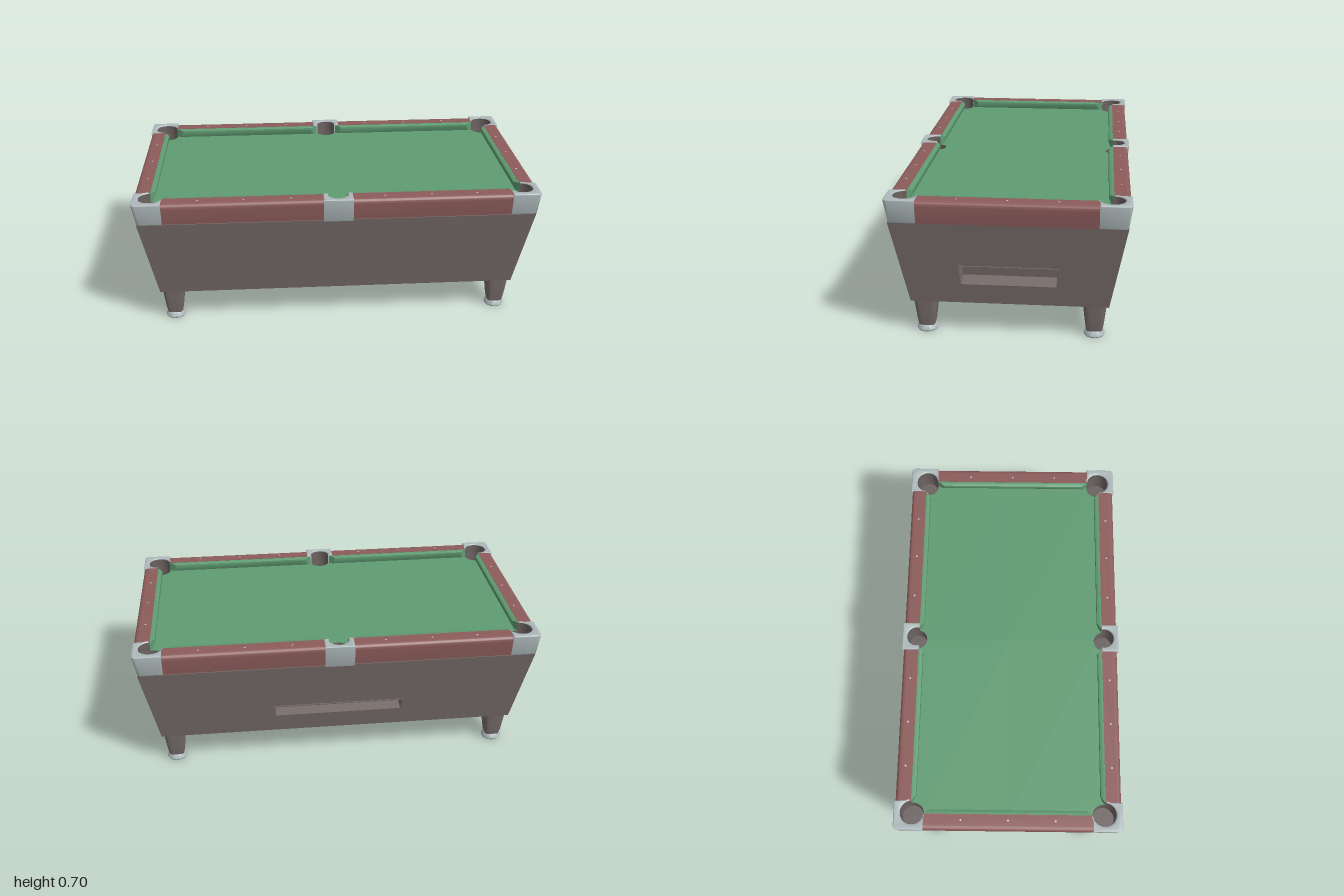
import * as THREE from 'three';
import { toCreasedNormals } from 'three/addons/utils/BufferGeometryUtils.js';

const paint = (color) => new THREE.MeshStandardMaterial({ color });
const cabinetMat = paint(0x756b69), railMat = paint(0x8c5c5b), clothMat = paint(0x5f9b72);
const metalMat = paint(0xaeb9bb), markMat = paint(0xeeeeee);
const linerMat = paint(0x6b6260);
linerMat.side = THREE.DoubleSide;

// Main sizes
const Y0 = 0.17, Y1 = 0.59, FLARE = 0.075;
const CLOTH_Y = 0.655, IN_X = 0.92, IN_Z = 0.473;
const CORNER = { x: 0.915, z: 0.468, r: 0.057, a: -1.483, b: 3.054 };
const SIDE = { z: 0.485, r: 0.05, a: -0.242, b: Math.PI + 0.242 };

function add(parent, name, geometry, material) {
  const mesh = new THREE.Mesh(geometry, material);
  mesh.name = name;
  parent.add(mesh);
  return mesh;
}

const polygon = (pts) => new THREE.Shape(pts.map(([x, y]) => new THREE.Vector2(x, y)));

// Slab cut from a plan shape (x, z), mirrored by sx and sz, hanging below the given height
function planSlab(shape, sx, sz, top, height, bevel = 0) {
  const outline = new THREE.Shape(shape.getPoints(24).map((p) => new THREE.Vector2(p.x * sx, p.y * sz)));
  const geo = new THREE.ExtrudeGeometry(outline, {
    depth: height - 2 * bevel, bevelEnabled: bevel > 0,
    bevelThickness: bevel, bevelSize: bevel, bevelOffset: -bevel, bevelSegments: 3,
  });
  return geo.rotateX(Math.PI / 2).translate(0, top - bevel, 0);
}

// Bar with a (outward, y) profile running along x
function bar(shape, length) {
  const geo = new THREE.ExtrudeGeometry(shape, { depth: length, bevelEnabled: false, curveSegments: 8 });
  return geo.translate(0, 0, -length / 2).rotateY(-Math.PI / 2);
}

// Move each vertex by a rule, then rebuild the normals
function reshape(geo, rule, crease = 0.6) {
  const p = geo.attributes.position, v = new THREE.Vector3();
  for (let i = 0; i < p.count; i++) {
    rule(v.fromBufferAttribute(p, i));
    p.setXYZ(i, v.x, v.y, v.z);
  }
  geo.computeVertexNormals();
  return toCreasedNormals(geo, crease);
}

// Sloping cabinet wall, with an optional ball return slot
function addPanel(parent, half, dist, slot) {
  const tilt = Math.atan2(FLARE, Y1 - Y0), slope = Math.hypot(FLARE, Y1 - Y0);
  const wall = new THREE.Group();
  wall.name = 'cabinetWall';
  wall.position.set(0, Y0, dist);
  wall.rotation.x = tilt;
  parent.add(wall);
  const shape = polygon([[-half, 0], [half, 0], [half + FLARE, slope], [-half - FLARE, slope]]);
  if (slot) {
    const v0 = (slot.y0 - Y0) / Math.cos(tilt), v1 = (slot.y1 - Y0) / Math.cos(tilt), w = slot.half;
    const opening = (g) => [[-w - g, v0 - g], [w + g, v0 - g], [w + g + 0.008, v1 + g], [-w - g - 0.008, v1 + g]];
    shape.holes.push(polygon(opening(0)));
    const rim = polygon(opening(0.004));
    rim.holes.push(polygon(opening(-0.001)));
    const tray = new THREE.ExtrudeGeometry(rim, { depth: 0.085, bevelEnabled: false });
    add(wall, 'returnTray', tray.translate(0, 0, -0.08), cabinetMat);
    const back = new THREE.BoxGeometry(2 * w + 0.03, v1 - v0 + 0.02, 0.01);
    add(wall, 'returnTrayBack', back.translate(0, (v0 + v1) / 2, -0.08), cabinetMat);
  }
  const geo = new THREE.ExtrudeGeometry(shape, { depth: 0.015, bevelEnabled: false });
  add(wall, 'wallPanel', geo.translate(0, 0, -0.015), cabinetMat);
}

// Wooden rail with a rounded outer top edge
function addRail(parent, inner, length, x) {
  const s = new THREE.Shape();
  s.moveTo(inner, Y1);
  s.lineTo(inner + 0.064, Y1);
  s.lineTo(inner + 0.077, 0.675);
  s.quadraticCurveTo(inner + 0.078, 0.7, inner + 0.055, 0.7);
  s.lineTo(inner, 0.7);
  add(parent, 'rail', toCreasedNormals(bar(s, length), 0.6), railMat).position.x = x;
}

// Undercut cushion whose ends are cut at an angle toward the pockets
function addCushion(parent, inner, length, x) {
  const s = polygon([[0, CLOTH_Y - 0.005], [-0.01, CLOTH_Y - 0.005], [-0.024, 0.682],
    [-0.022, 0.694], [-0.012, 0.699], [0, 0.699]]);
  const geo = reshape(bar(s, length), (v) => { v.x += Math.sign(v.x) * v.z * 1.4; });
  add(parent, 'cushion', geo, clothMat).position.set(x, 0, inner);
}

function addMark(parent, x, z) {
  add(parent, 'sightMark', new THREE.CylinderGeometry(0.005, 0.005, 0.004, 8), markMat).position.set(x, 0.699, z);
}

// Pocket: tapered cup below the cloth and a liner around the outer side
function addPocket(parent, x, z, r, dirX, dirZ, span) {
  const pocket = new THREE.Group();
  pocket.name = 'pocket';
  pocket.position.set(x, 0, z);
  parent.add(pocket);
  const low = 0.592, cup = new THREE.CylinderGeometry(r, r - 0.004, CLOTH_Y - low, 32, 1, true);
  add(pocket, 'pocketCup', cup.translate(0, (CLOTH_Y + low) / 2, 0), linerMat);
  const liner = new THREE.CylinderGeometry(r - 0.001, r - 0.001, 0.045, 32, 1, true,
    Math.atan2(dirX, dirZ) - span / 2, span);
  add(pocket, 'pocketLiner', liner.translate(0, CLOTH_Y + 0.0225, 0), linerMat);
  const floor = new THREE.CircleGeometry(r - 0.004, 32).rotateX(-Math.PI / 2);
  add(pocket, 'pocketFloor', floor.translate(0, low, 0), linerMat);
}

// Rounded square leg, tapering down to a metal foot
function addLeg(parent, x, z) {
  const leg = new THREE.Group();
  leg.name = 'leg';
  leg.position.set(x, 0, z);
  parent.add(leg);
  const post = new THREE.CylinderGeometry(1, 1, 0.145, 40, 6).translate(0, 0.1025, 0);
  add(leg, 'legPost', reshape(post, (v) => {
    const t = Math.max(0, (v.y - 0.03) / 0.145), n = 5;
    const q = Math.pow(Math.abs(v.x) ** n + Math.abs(v.z) ** n, 1 / n);
    const k = q > 0 ? (0.038 + 0.019 * t ** 0.8) / q : 0;
    v.x *= k;
    v.z *= k;
  }), cabinetMat);
  const profile = [[0, 0], [0.047, 0], [0.05, 0.006], [0.046, 0.02], [0.036, 0.032], [0, 0.034]];
  const foot = new THREE.LatheGeometry(profile.map(([a, b]) => new THREE.Vector2(a, b)), 32);
  add(leg, 'foot', toCreasedNormals(foot, 0.7), metalMat);
}

// Plan outlines for one quarter of the table
function clothQuarter() {
  const s = new THREE.Shape();
  s.moveTo(0, 0);
  s.lineTo(IN_X, 0);
  s.absarc(CORNER.x, CORNER.z, CORNER.r, CORNER.a, CORNER.b - 2 * Math.PI, true);
  s.absarc(0, SIDE.z, SIDE.r, SIDE.a, -Math.PI / 2, true);
  return s;
}

function cornerCapPlan() {
  const s = new THREE.Shape();
  s.moveTo(0.858, 0.556);
  s.lineTo(0.976, 0.556);
  s.quadraticCurveTo(1, 0.556, 1, 0.532);
  s.lineTo(1, 0.411);
  s.absarc(CORNER.x, CORNER.z, CORNER.r, CORNER.a, CORNER.b, false);
  return s;
}

function sideCapPlan() {
  const s = new THREE.Shape();
  s.moveTo(-0.073, 0.558);
  s.lineTo(-0.073, IN_Z);
  s.absarc(0, SIDE.z, SIDE.r, SIDE.b, SIDE.a, true);
  s.lineTo(0.073, IN_Z);
  s.lineTo(0.073, 0.558);
  return s;
}

// Lean the outer faces of a cap inward toward the bottom
function lean(v) {
  const d = (v.y - 0.7) * 0.14;
  if (Math.abs(v.x) > 0.974) v.x += Math.sign(v.x) * d;
  if (Math.abs(v.z) > 0.537) v.z += Math.sign(v.z) * d;
}

export function createModel() {
  const table = new THREE.Group();
  table.name = 'poolTable';

  // Walls, rails and cushions, turned to the four sides
  for (let k = 0; k < 4; k++) {
    const side = new THREE.Group();
    side.name = ['frontSide', 'leftSide', 'backSide', 'rightSide'][k];
    side.rotation.y = (k * Math.PI) / 2;
    table.add(side);
    if (k % 2 === 0) {
      addPanel(side, 0.907, 0.466, k === 2 && { half: 0.32, y0: 0.275, y1: 0.335 });
      for (const s of [-1, 1]) {
        addRail(side, IN_Z, 0.793, s * 0.4635);
        addCushion(side, IN_Z, 0.806, s * 0.456);
        for (const x of [0.23, 0.46, 0.685]) addMark(side, s * x, 0.508);
      }
    } else {
      addPanel(side, 0.466, 0.907, k === 1 && { half: 0.222, y0: 0.275, y1: 0.37 });
      addRail(side, IN_X, 0.822, 0);
      addCushion(side, IN_X, 0.82, 0);
      for (const x of [-0.23, 0, 0.23]) addMark(side, x, 0.95);
    }
  }
  add(table, 'cabinetBottom', new THREE.BoxGeometry(1.812, 0.012, 0.93), cabinetMat).position.y = Y0 + 0.006;

  // Cloth, corner caps, pockets and legs
  for (const sz of [-1, 1]) {
    for (const sx of [-1, 1]) {
      add(table, 'cloth', planSlab(clothQuarter(), sx, sz, CLOTH_Y, 0.04), clothMat);
      add(table, 'cornerCap', reshape(planSlab(cornerCapPlan(), sx, sz, 0.705, 0.118, 0.007), lean), metalMat);
      addPocket(table, sx * CORNER.x, sz * CORNER.z, CORNER.r, sx, sz, CORNER.b - CORNER.a);
      addLeg(table, sx * 0.843, sz * 0.4);
    }
    add(table, 'sideCap', reshape(planSlab(sideCapPlan(), 1, sz, 0.705, 0.125, 0.005), lean), metalMat);
    addPocket(table, 0, sz * SIDE.z, SIDE.r, 0, sz, SIDE.b - SIDE.a);
  }
  return table;
}
